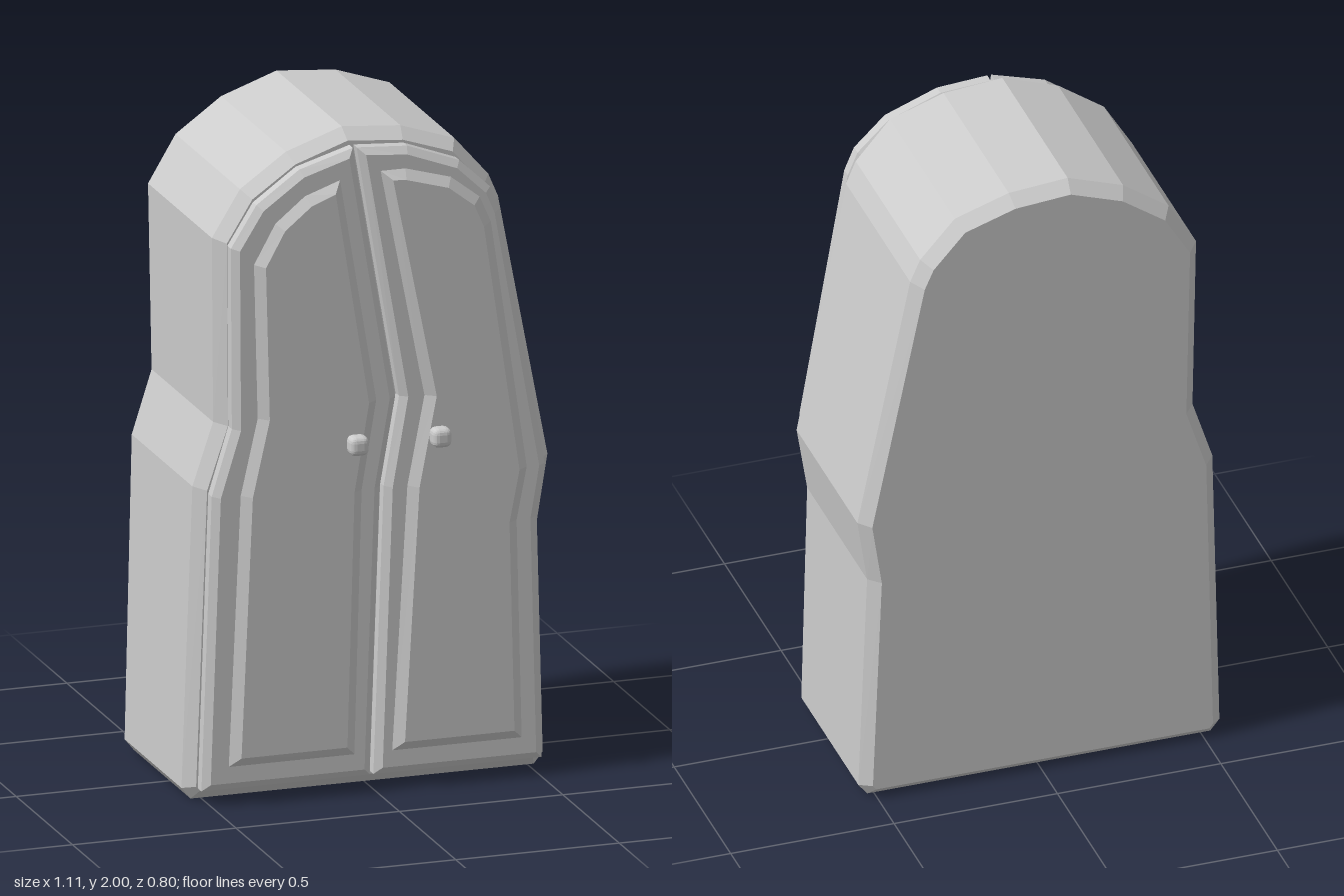
import * as THREE from 'three';
import { RoundedBoxGeometry } from 'three/addons/geometries/RoundedBoxGeometry.js';

const material = new THREE.MeshStandardMaterial({ color: 0xcccccc, flatShading: true });

// Chamfered slab from an outline; back and front planes are [z at y = 0, slope with y]
function slab(name, outline, back, front, bevelSize, bevelThickness) {
  const shape = new THREE.Shape(outline.map(([x, y]) => new THREE.Vector2(x, y)));
  const total = front[0] - back[0];
  const geometry = new THREE.ExtrudeGeometry(shape, {
    depth: Math.max(total - 2 * bevelThickness, 0.001),
    bevelEnabled: true, bevelSegments: 1, bevelSize, bevelThickness, bevelOffset: -bevelSize,
  });
  geometry.computeBoundingBox();
  const { min, max } = geometry.boundingBox;
  const p = geometry.attributes.position;
  for (let i = 0; i < p.count; i++) {
    const t = (p.getZ(i) - min.z) / (max.z - min.z);
    const y = p.getY(i);
    p.setZ(i, THREE.MathUtils.lerp(back[0] + back[1] * y, front[0] + front[1] * y, t));
  }
  geometry.computeVertexNormals();
  const mesh = new THREE.Mesh(geometry, material);
  mesh.name = name;
  return mesh;
}

// Crooked cabinet silhouette, counter-clockwise from the bottom
const bodyOutline = [
  [-0.53, 0], [0.52, 0], [0.547, 0.035], [0.525, 0.74], [0.556, 0.94], [0.4, 1.74], [0.37, 1.81],
  [0.265, 1.93], [0.1, 1.985], [-0.08, 2], [-0.25, 1.94], [-0.39, 1.84], [-0.475, 1.7],
  [-0.468, 1.14], [-0.53, 0.95], [-0.558, 0.035],
];

// Bent seam between the doors, from bottom to top
const seam = [[-0.005, 0.045], [0.02, 0.92], [0.065, 1.19], [-0.07, 1.96]];
const gap = 0.006;

const doors = [
  {
    side: 'right',
    outline: [
      [-0.525, 0.045], ...seam.map(([x, y]) => [x - gap, y]),
      [-0.24, 1.91], [-0.37, 1.815], [-0.447, 1.69], [-0.44, 1.14], [-0.5, 0.94],
    ],
    panel: [
      [-0.45, 0.115], [-0.062, 0.115], [-0.045, 0.92], [-0.002, 1.19], [-0.118, 1.875],
      [-0.23, 1.835], [-0.32, 1.76], [-0.385, 1.64], [-0.37, 1.17], [-0.42, 0.94],
    ],
    knobX: -0.083,
  },
  {
    side: 'left',
    outline: [
      [0.515, 0.045], [0.492, 0.78], [0.518, 0.94], [0.375, 1.73], [0.345, 1.8], [0.25, 1.89],
      [0.09, 1.95], ...seam.map(([x, y]) => [x + gap, y]).reverse(),
    ],
    panel: [
      [0.05, 0.115], [0.45, 0.115], [0.43, 0.78], [0.46, 0.94], [0.345, 1.7], [0.31, 1.78],
      [0.22, 1.85], [0.08, 1.89], [0, 1.89], [0.14, 1.19], [0.09, 0.92],
    ],
    knobX: 0.17,
  },
];

export function createModel() {
  const model = new THREE.Group();
  model.name = 'wardrobe';
  model.add(slab('body', bodyOutline, [-0.355, -0.0225], [0.22, 0.02], 0.032, 0.036));

  for (const { side, outline, panel, knobX } of doors) {
    const door = new THREE.Group();
    door.name = `${side}Door`;
    door.add(slab(`${side}DoorFrame`, outline, [0.215, 0.022], [0.283, 0.021], 0.022, 0.018));
    // Raised panel, its widest line lying on the frame
    door.add(slab(`${side}DoorPanel`, panel, [0.255, 0.021], [0.307, 0.02], 0.032, 0.0255));

    // Knob with a short stem
    const stem = new THREE.Mesh(new THREE.CylinderGeometry(0.014, 0.014, 0.05, 8), material);
    stem.name = `${side}KnobStem`;
    stem.rotation.x = Math.PI / 2;
    stem.position.set(knobX, 1.08, 0.335);
    const knob = new THREE.Mesh(new RoundedBoxGeometry(0.058, 0.058, 0.055, 2, 0.018), material);
    knob.name = `${side}Knob`;
    knob.position.set(knobX, 1.08, 0.372);
    door.add(stem, knob);
    model.add(door);
  }
  return model;
}
